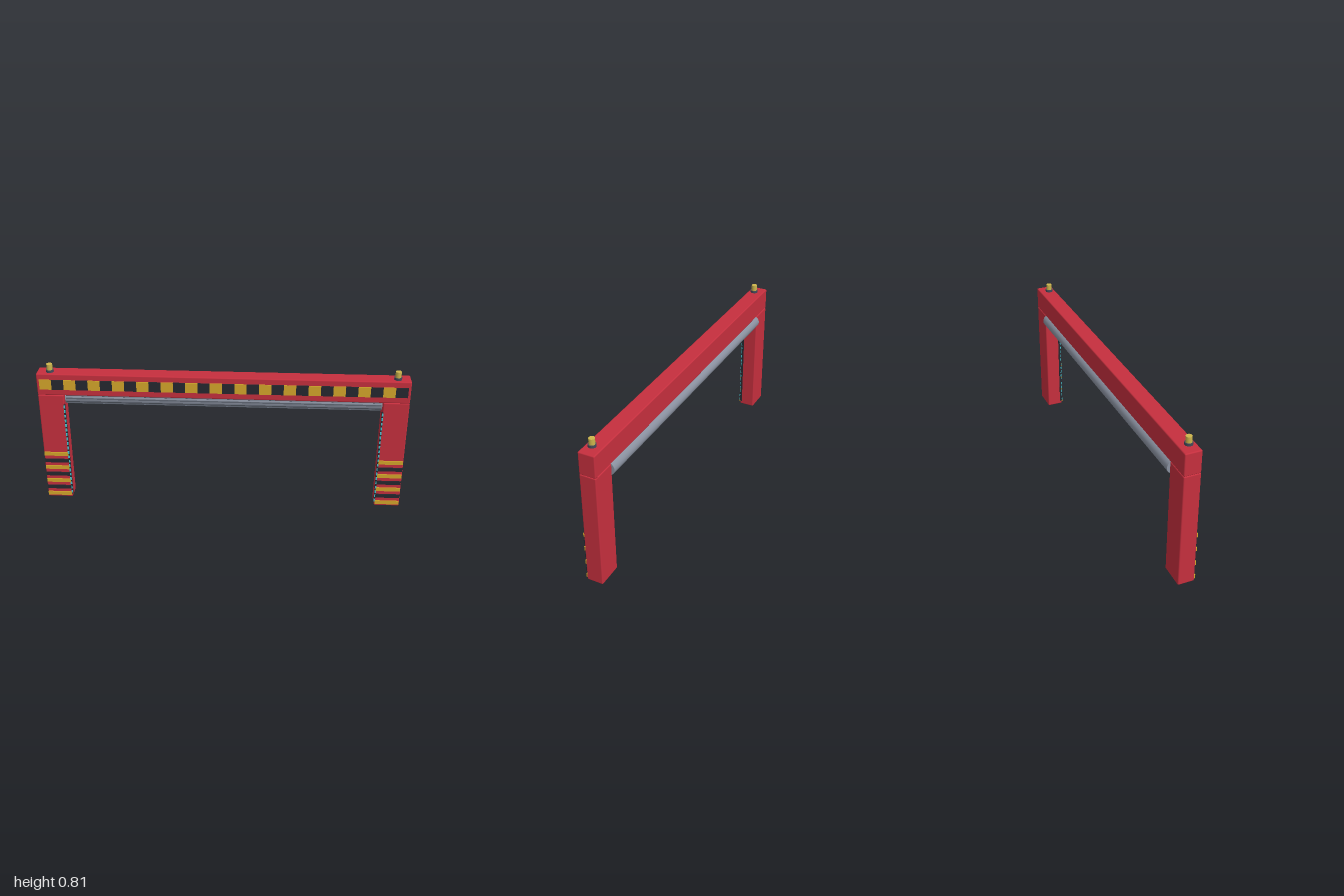
import * as THREE from 'three';
import { RoundedBoxGeometry } from 'three/addons/geometries/RoundedBoxGeometry.js';

const material = (name, color) => {
  const m = new THREE.MeshStandardMaterial({ color });
  m.name = name;
  return m;
};

export function createModel() {
  const red = material('red paint', 0xc62f3e);
  const yellow = material('warning yellow', 0xd4a62a);
  const dark = material('warning black', 0x26282f);
  const steel = material('roller steel', 0x8a91a0);
  const slatGrey = material('slat grey', 0x5c636f);
  const baseGrey = material('beacon base grey', 0x434a58);
  const amber = material('beacon amber', 0xccb54c);
  const cyan = material('sensor cyan', 0x45c4d0);

  const model = new THREE.Group();
  model.name = 'rollerGate';

  const add = (parent, name, geometry, mat, x, y, z) => {
    const mesh = new THREE.Mesh(geometry, mat);
    mesh.name = name;
    mesh.position.set(x, y, z);
    parent.add(mesh);
    return mesh;
  };
  const box = (w, h, d) => new THREE.BoxGeometry(w, h, d);
  const frontZ = 0.0525;

  // Overhead beam with a row of alternating warning tiles
  add(model, 'beam', new RoundedBoxGeometry(2, 0.125, 0.09, 2, 0.006), red, 0, 0.7075, 0.005);
  const tiles = new THREE.Group();
  tiles.name = 'beamWarningTiles';
  model.add(tiles);
  const count = 30, tileWidth = 1.97 / count;
  const tileGeometry = box(tileWidth, 0.057, 0.006);
  for (let i = 0; i < count; i++) {
    add(tiles, 'warningTile', tileGeometry, i % 2 ? dark : yellow,
      -0.985 + (i + 0.5) * tileWidth, 0.709, frontZ);
  }

  // Rolled shutter under the beam, with slats along its front
  const roller = new THREE.CylinderGeometry(0.037, 0.037, 1.72, 20).rotateZ(Math.PI / 2);
  add(model, 'shutterRoller', roller, steel, 0, 0.61, -0.018);
  for (const angle of [-0.95, -0.4, 0.1, 0.55]) {
    const slat = add(model, 'shutterSlat', box(1.71, 0.007, 0.005), slatGrey,
      0, 0.61 + 0.037 * Math.sin(angle), -0.018 + 0.037 * Math.cos(angle));
    slat.rotation.x = -angle;
  }

  const legGeometry = new RoundedBoxGeometry(0.14, 0.645, 0.09, 2, 0.006);
  const bandGeometry = box(0.134, 0.022, 0.006);
  const lampGeometry = box(0.008, 0.016, 0.006);
  for (const side of [-1, 1]) {
    const post = new THREE.Group();
    post.name = side > 0 ? 'leftPost' : 'rightPost';
    model.add(post);
    add(post, 'leg', legGeometry, red, side * 0.93, 0.3225, 0.005);

    // Warning bands on the lower leg
    for (let i = 0; i < 7; i++) {
      add(post, 'warningBand', bandGeometry, i % 2 ? dark : yellow,
        side * 0.93, 0.023 + i * 0.043, frontZ);
    }

    // Sensor strip along the inner front edge
    add(post, 'sensorHousing', box(0.008, 0.57, 0.012), dark, side * 0.861, 0.305, 0.044);
    for (let i = 0; i < 20; i++) {
      add(post, 'sensorLamp', lampGeometry, cyan, side * 0.861, 0.035 + i * 0.0285, 0.05);
    }

    // Beacon on top of the beam
    add(post, 'beaconBase', new THREE.CylinderGeometry(0.021, 0.021, 0.014, 16), baseGrey,
      side * 0.93, 0.776, 0.014);
    add(post, 'beaconLamp', new THREE.CylinderGeometry(0.016, 0.016, 0.034, 16), amber,
      side * 0.93, 0.798, 0.014);
  }
  return model;
}
